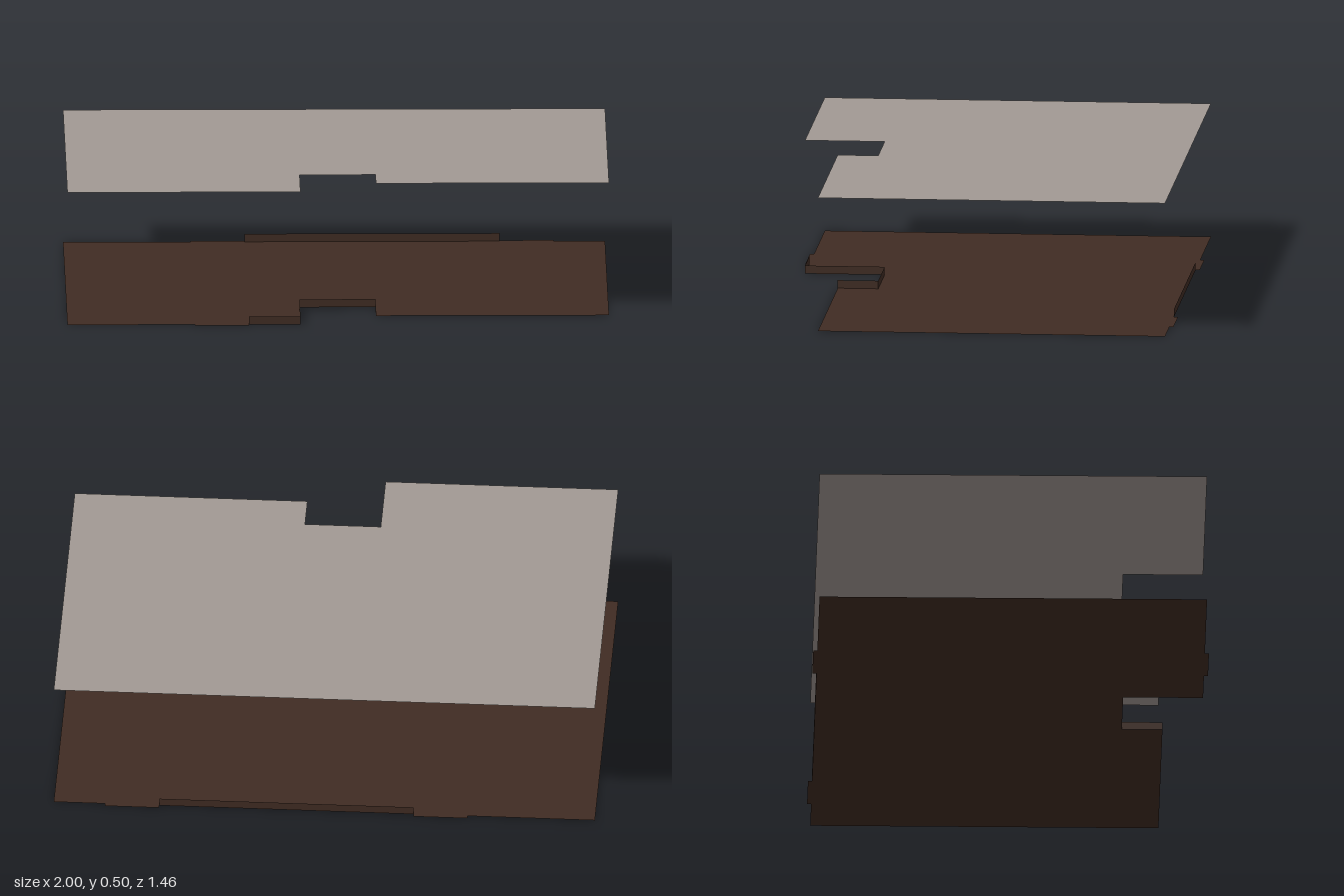
import * as THREE from 'three';

const EDGE = 0.715;   // front and back wall lines
const STEP = 0.57;    // set-back front on the left side
const NOTCH = 0.14;   // half width of the entrance notch
const NOTCH_Z = 0.42;
const SKIRT = 0.03;
const CEILING_Y = 0.5;

export function createModel() {
  const model = new THREE.Group();
  const material = (name, color) => {
    const m = new THREE.MeshStandardMaterial({ color, side: THREE.DoubleSide });
    m.name = name;
    return m;
  };
  const brown = material('dark wood', 0x402c23);
  const grey = material('warm grey plaster', 0xa29994);

  const add = (name, geometry, mat, x = 0, y = 0, z = 0) => {
    const mesh = new THREE.Mesh(geometry, mat);
    mesh.name = name;
    mesh.position.set(x, y, z);
    model.add(mesh);
    return mesh;
  };

  // Floor plan outline with the entrance notch, as [x, z]
  const plan = [
    [-1, EDGE], [-NOTCH, EDGE], [-NOTCH, NOTCH_Z], [NOTCH, NOTCH_Z],
    [NOTCH, STEP], [1, STEP], [1, -EDGE], [-1, -EDGE],
  ];
  const slab = new THREE.ShapeGeometry(
    new THREE.Shape(plan.map(([x, z]) => new THREE.Vector2(x, -z)))
  ).rotateX(-Math.PI / 2);
  add('floor', slab, brown);
  add('ceiling', slab, grey, 0, CEILING_Y, 0);

  // Door sills lying flat outside the wall lines
  const sill = new THREE.PlaneGeometry(0.2, 0.015).rotateX(-Math.PI / 2);
  const sillZ = EDGE + 0.0075;
  add('frontSill', sill, brown, -0.43, 0, sillZ);
  add('backRightSill', sill, brown, -0.43, 0, -sillZ);
  add('backLeftSill', sill, brown, 0.71, 0, -sillZ);

  // Low upright strips along the floor edge, from [x, z] to [x, z]
  const skirting = (name, [x0, z0], [x1, z1]) => {
    const length = Math.hypot(x1 - x0, z1 - z0);
    const strip = add(name, new THREE.PlaneGeometry(length, SKIRT), brown,
      (x0 + x1) / 2, SKIRT / 2, (z0 + z1) / 2);
    strip.rotation.y = Math.atan2(z0 - z1, x1 - x0);
  };
  skirting('frontSkirting', [-0.33, EDGE], [-NOTCH, EDGE]);
  skirting('notchRightSkirting', [-NOTCH, EDGE], [-NOTCH, NOTCH_Z]);
  skirting('notchBackSkirting', [-NOTCH, NOTCH_Z], [NOTCH, NOTCH_Z]);
  skirting('notchLeftSkirting', [NOTCH, NOTCH_Z], [NOTCH, STEP]);
  skirting('backSkirting', [0.61, -EDGE], [-0.33, -EDGE]);

  return model;
}
